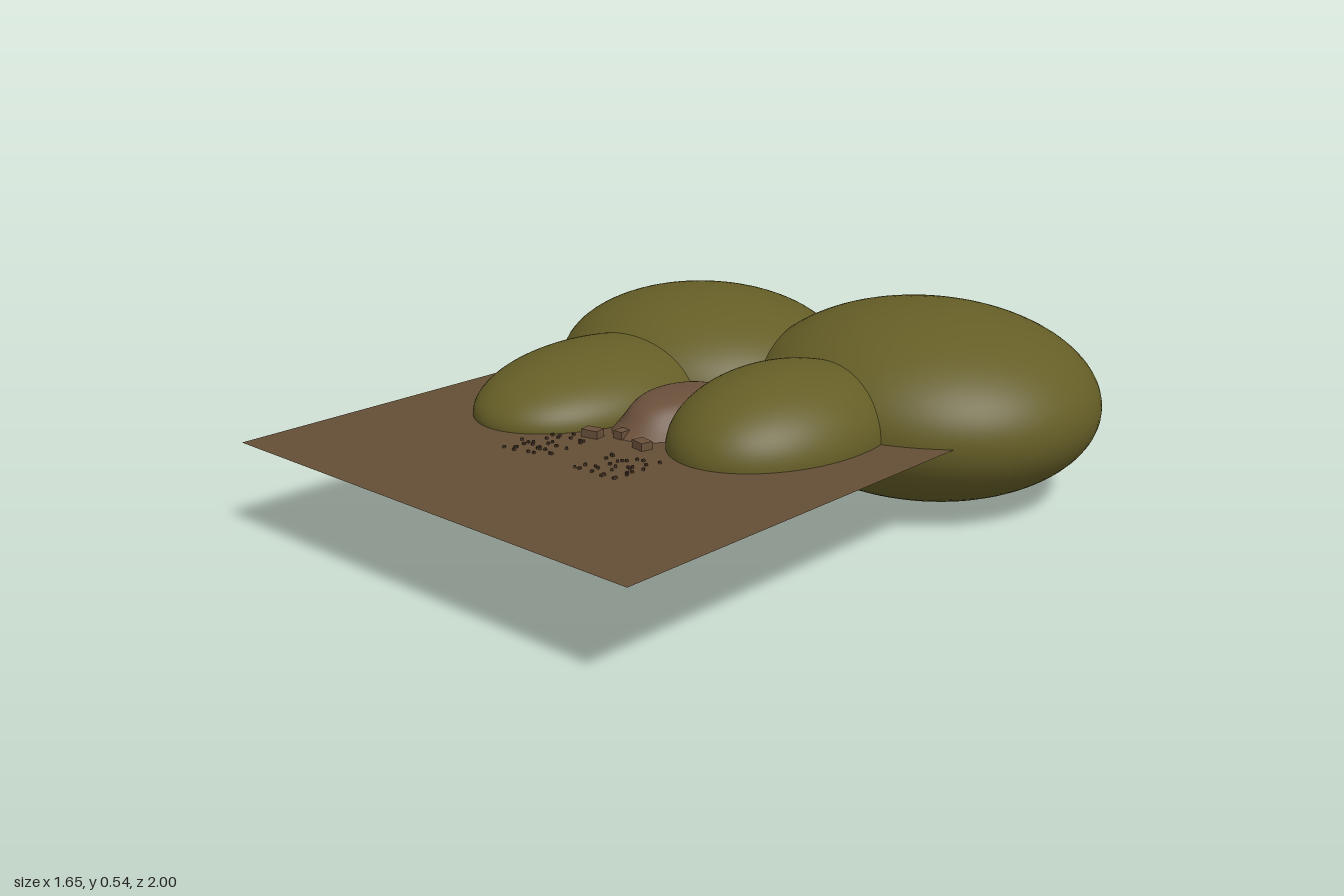
import * as THREE from 'three';

export function createModel() {
  const root = new THREE.Group();
  const mat = (name, color, side = THREE.FrontSide) => {
    const m = new THREE.MeshStandardMaterial({ color, side });
    m.name = name;
    return m;
  };
  const olive = mat('olive foliage', 0x655e27);
  const soil = mat('soil brown', 0x644e36, THREE.DoubleSide);
  const clay = mat('clay brown', 0x6a503b, THREE.DoubleSide);
  const dark = mat('dark pebble', 0x4a3828);

  const add = (name, geometry, material, x, y, z, parent = root) => {
    const mesh = new THREE.Mesh(geometry, material);
    mesh.name = name;
    mesh.position.set(x, y, z);
    parent.add(mesh);
    return mesh;
  };

  // Four flattened, overlapping mounds: position, radii, turn
  const ball = new THREE.SphereGeometry(1, 64, 40);
  const mounds = [
    ['backRightMound', [-0.385, 0.27, -0.385], [0.445, 0.225, 0.415], 0],
    ['backLeftMound', [0.32, 0.268, -0.535], [0.505, 0.268, 0.465], 0],
    ['frontRightMound', [-0.375, 0.27, 0.07], [0.273, 0.15, 0.42], 0.07],
    ['frontLeftMound', [0.247, 0.27, 0], [0.258, 0.187, 0.36], 0],
  ];
  for (const [name, p, r, turn] of mounds) {
    const m = add(name, ball, olive, ...p);
    m.scale.set(...r);
    m.rotation.y = turn;
  }

  // Thin ground sheet, with a small slab just beneath it
  add('ground', new THREE.PlaneGeometry(1.41, 1.41).rotateX(-Math.PI / 2), soil, -0.045, 0.268, 0.295);
  add('slab', new THREE.BoxGeometry(0.41, 0.031, 0.41), clay, 0.015, 0.251, 0.205);

  // Flat-topped earth hump between the front mounds
  const profile = new THREE.SplineCurve([
    [1.1, 0], [0.95, 0.025], [0.75, 0.065], [0.5, 0.085], [0.001, 0.09],
  ].map(([x, y]) => new THREE.Vector2(x, y))).getPoints(20);
  const hump = add('earthHump', new THREE.LatheGeometry(profile, 40), clay, -0.03, 0.268, 0.1);
  hump.scale.set(0.13, 1, 0.2);

  // Small blocks in front of the hump
  const blocks = [
    ['rightBlock', -0.11, 0.352, 0.05, 0.2],
    ['middleBlock', -0.045, 0.308, 0.03, 0],
    ['leftBlock', 0.055, 0.335, 0.045, -0.2],
  ];
  for (const [name, x, z, w, turn] of blocks) {
    add(name, new THREE.BoxGeometry(w, 0.022, 0.034), clay, x, 0.278, z).rotation.y = turn;
  }

  // Two scatterings of tiny pebbles
  let seed = 7;
  const rand = () => (seed = (seed * 16807) % 2147483647) / 2147483647;
  const pebbles = new THREE.Group();
  pebbles.name = 'pebbles';
  root.add(pebbles);
  const chip = new THREE.BoxGeometry(0.007, 0.006, 0.007);
  for (let i = 0; i < 60; i++) {
    const x = (i % 2 ? -0.15 : 0.11) + (rand() - 0.5) * 0.15;
    const m = add('pebble', chip, dark, x, 0.271, 0.38 + rand() * 0.19, pebbles);
    m.rotation.y = rand() * 3;
  }
  return root;
}
